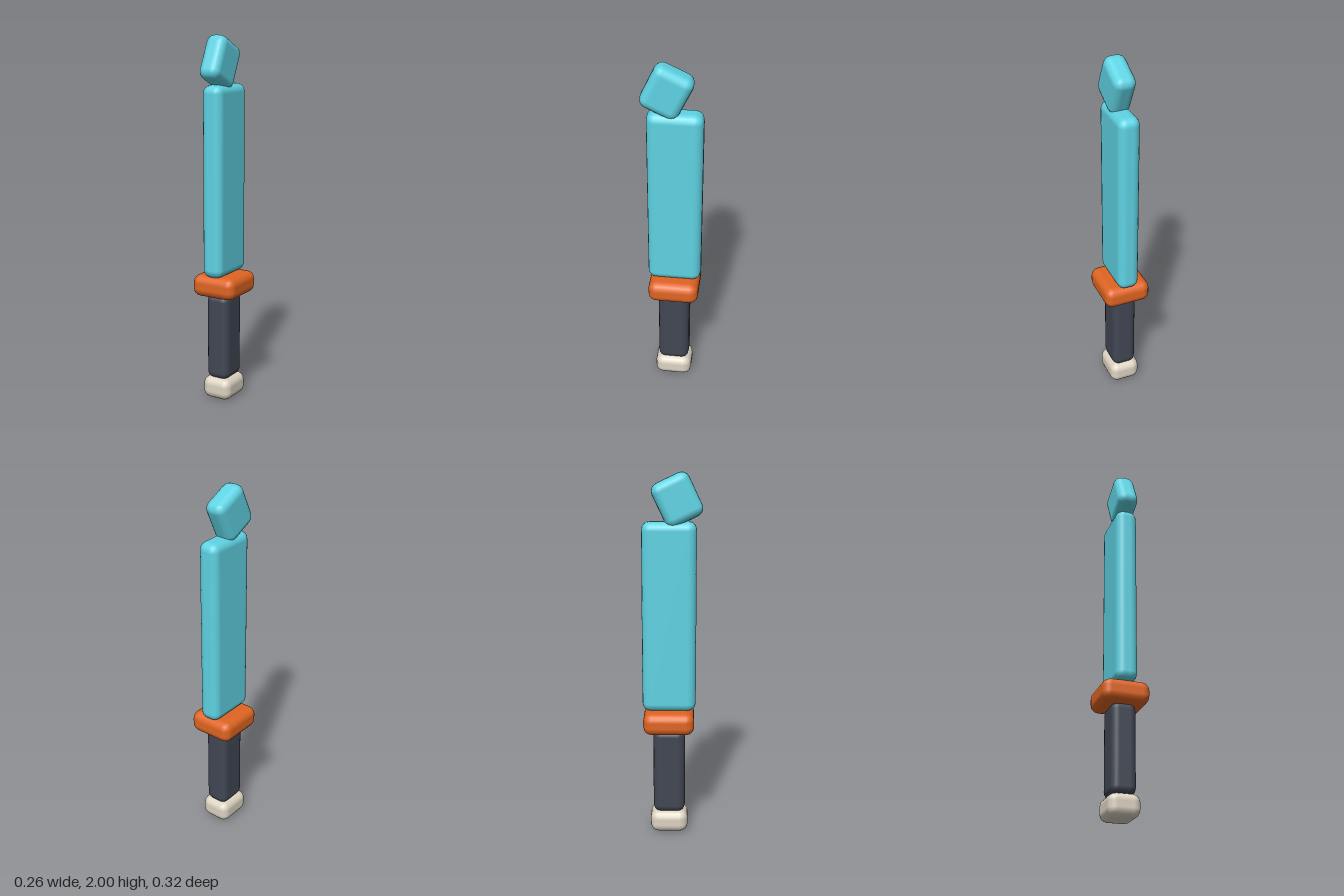
import * as THREE from 'three';
import { RoundedBoxGeometry } from 'three/addons/geometries/RoundedBoxGeometry.js';

const material = (name, color) => {
  const m = new THREE.MeshStandardMaterial({ color });
  m.name = name;
  return m;
};

export function createModel() {
  const group = new THREE.Group();
  group.name = 'knife';
  const teal = material('teal blade', 0x5fd3e3);
  const orange = material('orange guard', 0xe06522);
  const slate = material('slate grip', 0x414754);
  const cream = material('cream pommel', 0xddd3c2);

  // Soft-edged block, given by its size and centre
  const block = (name, mat, [w, h, d], [y, z], radius = 0.045) => {
    const mesh = new THREE.Mesh(new RoundedBoxGeometry(w, h, d, 2, radius), mat);
    mesh.name = name;
    mesh.position.set(0, y, z);
    group.add(mesh);
    return mesh;
  };

  // Handle
  block('pommel', cream, [0.174, 0.124, 0.208], [0.062, -0.015]);
  block('grip', slate, [0.136, 0.49, 0.175], [0.361, -0.015], 0.04);
  block('guard', orange, [0.26, 0.122, 0.278], [0.655, -0.0165]);

  // Blade with its tilted tip
  block('blade', teal, [0.12, 1.036, 0.292], [1.228, -0.016]);
  const tip = block('bladeTip', teal, [0.12, 0.245, 0.215], [1.858, 0.026]);
  tip.rotation.x = -0.445;

  return group;
}
